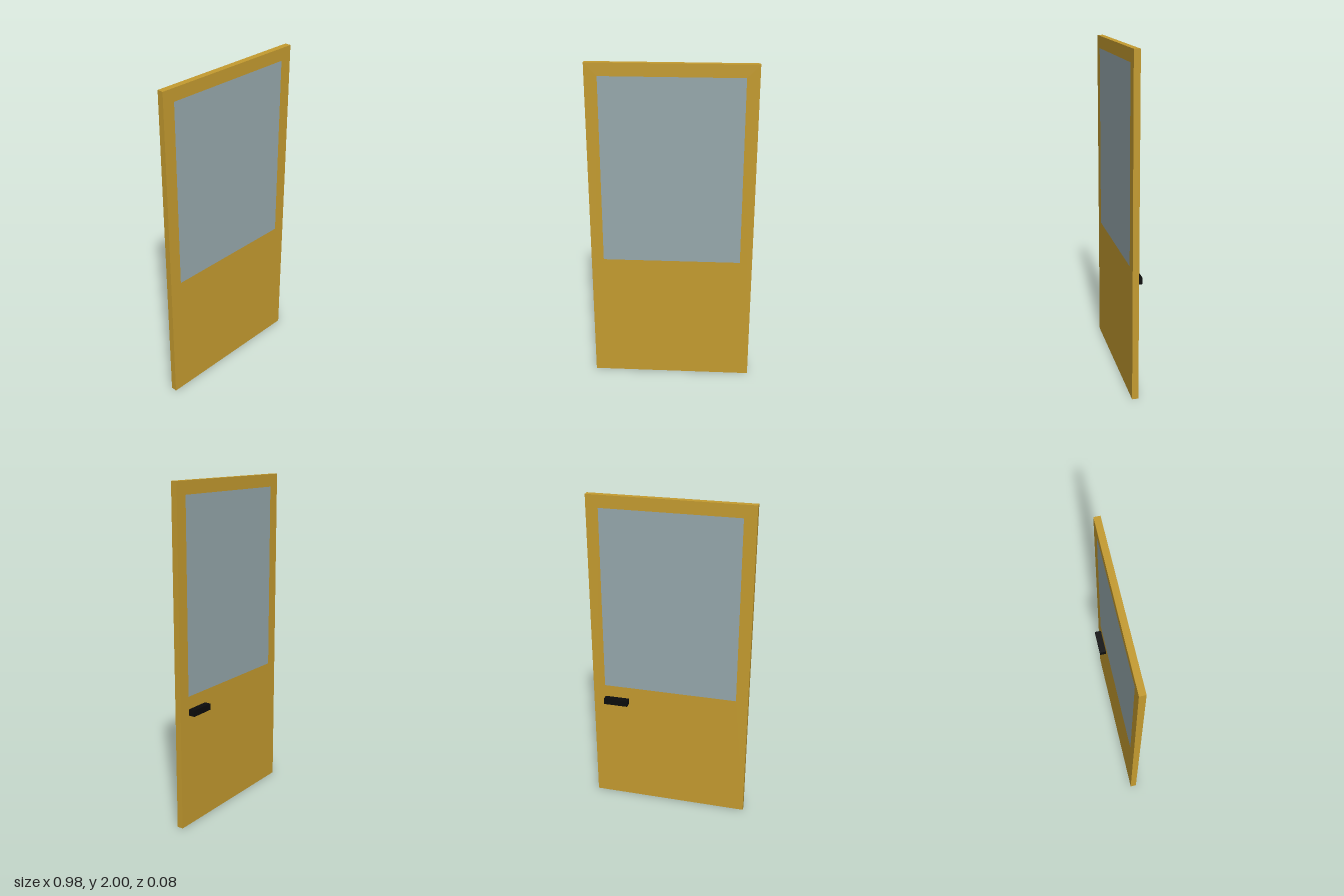
import * as THREE from 'three';

const W = 0.489, H = 2, DEPTH = 0.037;              // half width, height and thickness of the door
const GX = 0.415, GY0 = 0.795, GY1 = 1.925;         // window opening

function material(name, color) {
  const m = new THREE.MeshStandardMaterial({ color });
  m.name = name;
  return m;
}

// Box given by its lower and upper corners
function box(name, mat, [x0, y0, z0], [x1, y1, z1]) {
  const mesh = new THREE.Mesh(new THREE.BoxGeometry(x1 - x0, y1 - y0, z1 - z0), mat);
  mesh.position.set((x0 + x1) / 2, (y0 + y1) / 2, (z0 + z1) / 2);
  mesh.name = name;
  return mesh;
}

function rectangle(Type, x, y0, y1) {
  return new Type([[-x, y0], [x, y0], [x, y1], [-x, y1]].map(p => new THREE.Vector2(...p)));
}

export function createModel() {
  const wood = material('ochre wood', 0xc49b2f);
  const glass = material('grey blue glass', 0x96a8ac);
  const black = material('black handle', 0x0c0c0c);

  const door = new THREE.Group();
  door.name = 'door';

  // Door leaf with a window opening
  const shape = rectangle(THREE.Shape, W, 0, H);
  shape.holes.push(rectangle(THREE.Path, GX, GY0, GY1));
  const leaf = new THREE.Mesh(
    new THREE.ExtrudeGeometry(shape, { depth: DEPTH, bevelEnabled: false }), wood);
  leaf.name = 'doorLeaf';
  door.add(leaf);

  // Pane flush with both faces of the leaf
  door.add(box('windowPane', glass, [-GX, GY0, 0], [GX, GY1, DEPTH]));

  // Handle on the back
  door.add(box('handle', black, [0.262, 0.681, -0.039], [0.413, 0.719, 0]));

  return door;
}
